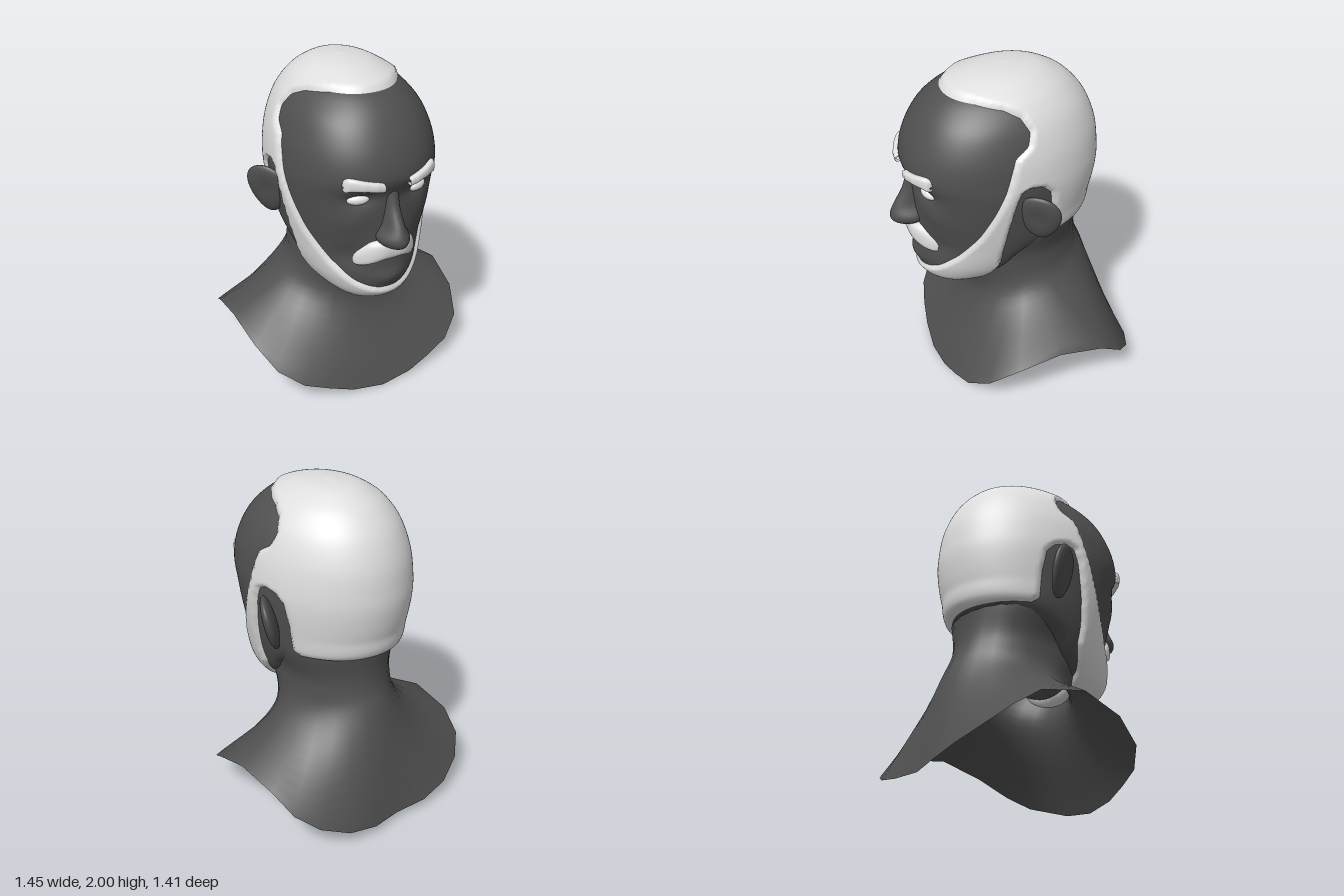
import * as THREE from 'three';

const material = (name, color, side = THREE.FrontSide) => {
  const m = new THREE.MeshStandardMaterial({ color, side });
  m.name = name;
  return m;
};

// Smooth surface from rows of points; each row is a closed loop of n columns
function loopSurface(rows, n, point, keep = () => true) {
  const pos = [], index = [];
  for (let i = 0; i < rows; i++)
    for (let j = 0; j < n; j++) pos.push(...point(i, j));
  for (let i = 0; i < rows - 1; i++)
    for (let j = 0; j < n; j++) {
      const a = i * n + j, b = i * n + (j + 1) % n, c = a + n, d = b + n;
      if (keep(a, b, c, d)) index.push(a, c, b, b, c, d);
    }
  const g = new THREE.BufferGeometry();
  g.setAttribute('position', new THREE.Float32BufferAttribute(pos, 3));
  g.setIndex(index);
  g.computeVertexNormals();
  return g;
}

// Horizontal rings from top to bottom: y, half width, front z, back z, widest z, front squareness
function sampleRings(rings, count) {
  const a = new THREE.CatmullRomCurve3(rings.map(r => new THREE.Vector3(r[0], r[1], r[2])), false, 'catmullrom');
  const b = new THREE.CatmullRomCurve3(rings.map(r => new THREE.Vector3(r[3], r[4], r[5])), false, 'catmullrom');
  return Array.from({ length: count }, (_, i) => {
    const p = a.getPoint(i / (count - 1)), q = b.getPoint(i / (count - 1));
    return { y: p.x, w: Math.max(p.y, 0.0002), zf: p.z, zb: q.x, zc: q.y, n: q.z };
  });
}

const spow = (v, e) => Math.sign(v) * Math.abs(v) ** e;
function ringPoint(r, angle) {
  const s = Math.sin(angle), c = Math.cos(angle);
  const depth = c > 0 ? r.zf - r.zc : r.zc - r.zb, e = c > 0 ? 2 / r.n : 1;
  return [r.w * spow(s, e), r.y, r.zc + depth * spow(c, e)];
}

// Eye sockets, cheekbones, mouth corners and chin pressed into the face
const bump = (x, y, cx, cy, sx, sy, h) =>
  h * Math.exp(-(((x - cx) / sx) ** 2) - ((y - cy) / sy) ** 2);
const relief = (x, y) => {
  const ax = Math.abs(x);
  return bump(ax, y, 0.17, 1.365, 0.09, 0.05, -0.03) + bump(ax, y, 0.24, 1.22, 0.08, 0.07, 0.012)
    + bump(ax, y, 0, 0.84, 0.1, 0.05, 0.018) + bump(ax, y, 0.22, 0.98, 0.08, 0.08, -0.025);
};

const HEAD = sampleRings([
  [1.983, 0.0002, -0.02, -0.0202, -0.0201, 2],
  [1.965, 0.13, 0.16, -0.19, -0.02, 2],
  [1.92, 0.225, 0.315, -0.295, 0, 2.1],
  [1.86, 0.305, 0.42, -0.375, 0.03, 2.1],
  [1.76, 0.38, 0.51, -0.455, 0.06, 2.2],
  [1.62, 0.432, 0.583, -0.513, 0.08, 2.2],
  [1.48, 0.452, 0.612, -0.534, 0.08, 2.2],
  [1.36, 0.452, 0.575, -0.535, 0.08, 2.2],
  [1.2, 0.432, 0.563, -0.505, 0.08, 2.1],
  [1.05, 0.405, 0.56, -0.445, 0.07, 2],
  [0.92, 0.365, 0.56, -0.1, 0.1, 2],
  [0.82, 0.315, 0.555, 0.03, 0.14, 2],
  [0.735, 0.235, 0.525, 0.14, 0.24, 2],
  [0.68, 0.14, 0.45, 0.22, 0.32, 2],
  [0.66, 0.0002, 0.3602, 0.3598, 0.36, 2],
], 121);
const COLS = 168;

function headPoint(i, j) {
  const angle = (j / COLS) * Math.PI * 2;
  const p = ringPoint(HEAD[i], angle);
  if (Math.cos(angle) > 0) p[2] += relief(p[0], p[1]);
  return p;
}

// Depth of the face at a given x and y
function faceZ(x, y) {
  const r = HEAD.find(h => h.y <= y);
  return r.zc + (r.zf - r.zc) * (1 - Math.min(1, Math.abs(x) / r.w) ** r.n) ** (1 / r.n) + relief(x, y);
}

// Hair outline as seen from the side: z, y
const HAIRLINE = [
  [0.7, 1.905], [0.25, 1.895], [0.1, 1.87], [0.02, 1.83], [-0.02, 1.76], [0, 1.69], [0.08, 1.64],
  [0.11, 1.55], [0.14, 1.45], [0.2, 1.3], [0.28, 1.12], [0.38, 0.95], [0.48, 0.825], [0.54, 0.77],
  [0.8, 0.765], [0.8, 0.4], [0.28, 0.4], [0.2, 0.75], [0.14, 0.88], [0.14, 0.98], [0.12, 1.15],
  [0.08, 1.35], [0.05, 1.43], [0, 1.45], [-0.08, 1.43], [-0.13, 1.38], [-0.15, 1.25], [-0.15, 1.08],
  [-0.19, 1.055], [-0.9, 1.055], [-0.9, 2.3], [0.7, 2.3],
];
// Signed distance to the outline, positive inside
function hairDepth(z, y) {
  let best = Infinity, inside = false;
  HAIRLINE.forEach(([z1, y1], k) => {
    const [z2, y2] = HAIRLINE[(k + 1) % HAIRLINE.length];
    const dz = z2 - z1, dy = y2 - y1;
    const t = THREE.MathUtils.clamp(((z - z1) * dz + (y - y1) * dy) / (dz * dz + dy * dy), 0, 1);
    best = Math.min(best, Math.hypot(z - z1 - t * dz, y - y1 - t * dy));
    if ((y1 > y) !== (y2 > y) && z < z1 + ((y - y1) / dy) * dz) inside = !inside;
  });
  return inside ? best : -best;
}

// Hair and beard: the head surface swelling out inside the hairline and sinking outside it
function hairGeometry(head) {
  const P = head.attributes.position, N = head.attributes.normal, lift = [];
  for (let k = 0; k < P.count; k++)
    lift.push(THREE.MathUtils.clamp(hairDepth(P.getZ(k), P.getY(k)) * 1.2, -0.02, 0.022));
  return loopSurface(HEAD.length, COLS, (i, j) => {
    const k = i * COLS + j;
    return [P.getX(k) + N.getX(k) * lift[k], P.getY(k) + N.getY(k) * lift[k], P.getZ(k) + N.getZ(k) * lift[k]];
  }, (...corners) => corners.some(k => lift[k] > -0.019));
}

// Tuft lying on the face; stations from -x to +x: x, y, half height, half depth
function tuft(stations, lift) {
  const at = f => new THREE.CatmullRomCurve3(stations.map(f), false, 'catmullrom');
  const centre = at(s => new THREE.Vector3(s[0], s[1], 0)), size = at(s => new THREE.Vector3(s[2], s[3], 0));
  return loopSurface(41, 20, (i, j) => {
    const c = centre.getPoint(i / 40), r = size.getPoint(i / 40), a = (j / 20) * Math.PI * 2;
    return [c.x, c.y + r.x * spow(Math.sin(a), 0.75), faceZ(c.x, c.y) + lift + r.y * spow(Math.cos(a), 0.75)];
  });
}
const mirrored = half => [...half.slice(1).reverse().map(([x, ...rest]) => [-x, ...rest]), ...half];

// Neck flowing into a shoulder drape with a scalloped lower edge
function neckGeometry() {
  const edge = [
    [0, 0.005, 0.49], [0.2, 0.03, 0.475], [0.35, 0.08, 0.45], [0.5, 0.13, 0.41], [0.63, 0.22, 0.32],
    [0.7, 0.33, 0.15], [0.725, 0.41, -0.1], [0.71, 0.36, -0.37], [0.67, 0.26, -0.52], [0.56, 0.17, -0.62],
    [0.39, 0.1, -0.69], [0.2, 0.06, -0.705], [0, 0.05, -0.68],
  ];
  const columns = Array.from({ length: 24 }, (_, j) => {
    const a = (j / 24) * Math.PI * 2, e = edge[j <= 12 ? j : 24 - j];
    const ring = (y, w, zf, zb) => new THREE.Vector3(...ringPoint({ y, w, zf, zb, zc: -0.08, n: 2 }, a));
    return new THREE.CatmullRomCurve3([
      ring(1.25, 0.4, 0.3, -0.465), ring(1.05, 0.372, 0.36, -0.435), ring(0.84, 0.315, 0.39, -0.445),
      ring(0.62 - 0.1 * Math.max(0, Math.cos(a)), 0.385, 0.26, -0.53),
      new THREE.Vector3(j > 12 ? -e[0] : e[0], e[1], e[2]),
    ], false, 'catmullrom');
  });
  return loopSurface(33, 24, (i, j) => columns[j].getPoint(i / 32).toArray());
}

// Shallow cupped ear, wide at the top and narrow at the lobe
function earGeometry() {
  const g = new THREE.SphereGeometry(1, 32, 24), p = g.attributes.position;
  for (let k = 0; k < p.count; k++) {
    const x = p.getX(k), y = p.getY(k), z = p.getZ(k);
    const hollow = x > 0 ? 0.016 * Math.exp(-(((y - 0.1) / 0.5) ** 2) - ((z - 0.1) / 0.5) ** 2) : 0;
    p.setXYZ(k, x * 0.042 - hollow, y * 0.165, z * 0.125 * (1 + 0.25 * y));
  }
  g.computeVertexNormals();
  return g;
}

export function createModel() {
  const model = new THREE.Group();
  const skin = material('charcoal skin', 0x505050);
  const drape = material('charcoal shoulders', 0x505050, THREE.DoubleSide);
  const white = material('pale hair', 0xdedede);
  const eyeWhite = material('eye white', 0xf4f4f4);
  const headGroup = new THREE.Group();
  headGroup.name = 'headGroup';
  headGroup.position.x = -0.015;
  model.add(headGroup);
  const add = (name, geometry, mat, parent = headGroup) => {
    const m = new THREE.Mesh(geometry, mat);
    m.name = name;
    parent.add(m);
    return m;
  };

  add('neckAndShoulders', neckGeometry(), drape, model);
  const head = loopSurface(HEAD.length, COLS, headPoint);
  for (let j = 0; j < COLS; j++) head.attributes.normal.setXYZ(j, 0, 1, 0);
  add('head', head, skin);
  add('hairAndBeard', hairGeometry(head), white);

  // Nose
  const nose = sampleRings([
    [1.47, 0.03, 0.575, 0.5, 0.53, 2], [1.4, 0.045, 0.587, 0.5, 0.53, 2], [1.3, 0.048, 0.617, 0.5, 0.53, 2],
    [1.2, 0.062, 0.672, 0.5, 0.54, 2], [1.13, 0.095, 0.7, 0.5, 0.56, 1.8], [1.09, 0.08, 0.69, 0.5, 0.57, 1.8],
    [1.068, 0.04, 0.65, 0.53, 0.59, 2], [1.065, 0.001, 0.6, 0.599, 0.6, 2],
  ], 33);
  add('nose', loopSurface(33, 32, (i, j) => ringPoint(nose[i], (j / 32) * Math.PI * 2)), skin);

  // Moustache
  add('moustache', tuft(mirrored([
    [0, 1.032, 0.058, 0.045], [0.06, 1.035, 0.062, 0.05], [0.12, 1.02, 0.068, 0.045],
    [0.165, 0.992, 0.055, 0.035], [0.19, 0.972, 0.033, 0.025], [0.198, 0.962, 0.006, 0.006],
  ]), 0.002), white);

  // Paired features, mirrored across the face
  for (const side of [1, -1]) {
    const half = new THREE.Group();
    half.name = side > 0 ? 'leftFeatures' : 'rightFeatures';
    half.scale.x = side;
    headGroup.add(half);
    add('eyebrow', tuft([
      [0.08, 1.452, 0.006, 0.01], [0.086, 1.452, 0.026, 0.025], [0.17, 1.468, 0.03, 0.027],
      [0.25, 1.479, 0.037, 0.027], [0.279, 1.468, 0.034, 0.022], [0.286, 1.462, 0.006, 0.008],
    ], 0.008), white, half);
    const eye = add('eye', new THREE.SphereGeometry(1, 24, 16), eyeWhite, half);
    eye.scale.set(0.066, 0.034, 0.036);
    eye.position.set(0.187, 1.362, faceZ(0.187, 1.362) - 0.006);
    eye.rotation.y = 0.35;
    const ear = add('ear', earGeometry(), skin, half);
    ear.position.set(0.468, 1.245, -0.05);
    ear.rotation.set(0, -0.62, -0.24);
  }
  return model;
}
